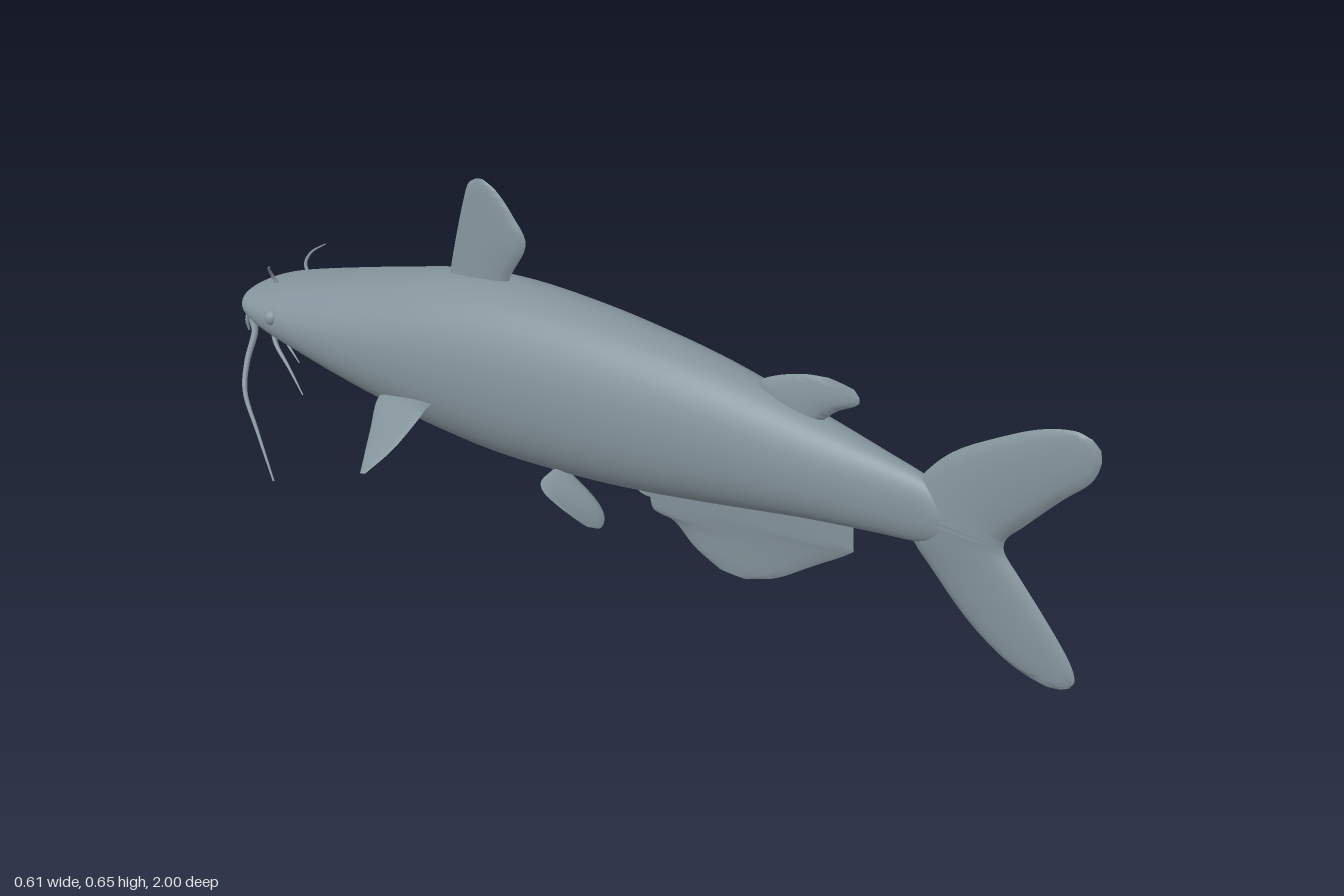
import * as THREE from 'three';
import { toCreasedNormals } from 'three/addons/utils/BufferGeometryUtils.js';

const V = (p, s = 1) => new THREE.Vector3(p[0] * s, p[1], p[2]);
const spline = (pts) => new THREE.CatmullRomCurve3(pts, false, 'catmullrom', 0.5);

// Skin a list of closed rings and cap both ends
function loft(rings) {
  const n = rings[0].length, pos = [], idx = [];
  rings.forEach((r) => r.forEach((p) => pos.push(p.x, p.y, p.z)));
  for (let i = 0; i < rings.length - 1; i++) {
    for (let j = 0; j < n; j++) {
      const k = (j + 1) % n, a = i * n + j, b = i * n + k;
      idx.push(a, b, a + n, b, b + n, a + n);
    }
  }
  [0, rings.length - 1].forEach((i) => {
    const c = new THREE.Vector3();
    rings[i].forEach((p) => c.addScaledVector(p, 1 / n));
    const ci = pos.length / 3;
    pos.push(c.x, c.y, c.z);
    for (let j = 0; j < n; j++) {
      const a = i * n + j, b = i * n + (j + 1) % n;
      if (i === 0) idx.push(ci, b, a); else idx.push(ci, a, b);
    }
  });
  const g = new THREE.BufferGeometry();
  g.setAttribute('position', new THREE.Float32BufferAttribute(pos, 3));
  g.setIndex(idx);
  g.computeVertexNormals();
  return g;
}

// Body from sections: z, top, bottom, half width
function bodyGeometry() {
  const sections = [
    [-1, 0.258, 0.225, 0.05], [-0.985, 0.268, 0.213, 0.082], [-0.95, 0.282, 0.2, 0.108],
    [-0.88, 0.305, 0.182, 0.128], [-0.75, 0.345, 0.16, 0.146], [-0.6, 0.39, 0.134, 0.155],
    [-0.42, 0.44, 0.108, 0.151], [-0.25, 0.464, 0.1, 0.14], [-0.07, 0.468, 0.113, 0.127],
    [0.09, 0.461, 0.135, 0.113], [0.25, 0.446, 0.165, 0.095], [0.46, 0.41, 0.208, 0.067],
    [0.6, 0.385, 0.23, 0.044], [0.69, 0.367, 0.243, 0.029], [0.74, 0.34, 0.262, 0.021],
    [0.77, 0.315, 0.285, 0.012],
  ];
  const heights = spline(sections.map(([z, t, b]) => new THREE.Vector3(z, t, b)));
  const widths = spline(sections.map(([z, , , w]) => new THREE.Vector3(z, w, 0)));
  const soft = (v) => Math.sign(v) * Math.abs(v) ** 0.93;
  const rings = [];
  for (let i = 0; i <= 75; i++) {
    const h = heights.getPoint(i / 75), w = widths.getPoint(i / 75).y;
    const ring = [];
    for (let j = 0; j < 48; j++) {
      const a = (j / 48) * Math.PI * 2;
      ring.push(new THREE.Vector3(w * soft(Math.cos(a)),
        (h.y + h.z) / 2 + (h.y - h.z) / 2 * soft(Math.sin(a)), h.x));
    }
    rings.push(ring);
  }
  return loft(rings);
}

// Lens-shaped fin from rows running base to tip: [leading point, trailing point]
function finGeometry(rows, thick, side = 1) {
  const lead = spline(rows.map((r) => V(r[0], side)));
  const trail = spline(rows.map((r) => V(r[1], side)));
  const chord = trail.getPoint(0.4).sub(lead.getPoint(0.4));
  const span = lead.getPoint(1).add(trail.getPoint(1)).sub(lead.getPoint(0)).sub(trail.getPoint(0));
  const normal = chord.cross(span).normalize();
  const rings = [];
  for (let i = 0; i <= 28; i++) {
    const t = i / 28, a = lead.getPoint(t), b = trail.getPoint(t), ring = [];
    const half = thick * (1 - t) + 0.0015;
    for (let j = 0; j < 16; j++) {
      const q = (j / 16) * Math.PI * 2;
      ring.push(a.clone().lerp(b, (1 - Math.cos(q)) / 2).addScaledVector(normal, half * Math.sin(q)));
    }
    rings.push(ring);
  }
  return toCreasedNormals(loft(rings), 0.7);
}

// Tapering whisker along a curve
function whiskerGeometry(points, radius, side) {
  const curve = spline(points.map((p) => V(p, side)));
  const seg = 24, sides = 8;
  const g = new THREE.TubeGeometry(curve, seg, radius, sides, false);
  const pos = g.attributes.position, v = new THREE.Vector3();
  for (let i = 0; i < pos.count; i++) {
    const t = Math.floor(i / (sides + 1)) / seg, c = curve.getPointAt(t);
    v.fromBufferAttribute(pos, i).sub(c).multiplyScalar(1 - 0.75 * t).add(c);
    pos.setXYZ(i, v.x, v.y, v.z);
  }
  return g;
}

// Midline fin rows given as [lead z, lead y, trail z, trail y]
const flat = (rows) => rows.map(([z0, y0, z1, y1]) => [[0, y0, z0], [0, y1, z1]]);

export function createModel() {
  const model = new THREE.Group();
  const skin = new THREE.MeshStandardMaterial({ color: 0x84939b });
  skin.name = 'slate skin';
  const add = (name, geometry) => {
    const mesh = new THREE.Mesh(geometry, skin);
    mesh.name = name;
    model.add(mesh);
    return mesh;
  };

  add('body', bodyGeometry());

  // Lower jaw
  const jaw = add('lowerJaw', new THREE.SphereGeometry(1, 32, 16));
  jaw.scale.set(0.082, 0.024, 0.062);
  jaw.position.set(0, 0.197, -0.915);

  // Midline fins
  add('upperTailLobe', finGeometry(flat([
    [0.64, 0.3, 0.845, 0.29], [0.68, 0.37, 0.85, 0.31], [0.74, 0.438, 0.88, 0.345],
    [0.84, 0.503, 0.94, 0.415], [0.9, 0.533, 0.985, 0.462], [0.95, 0.546, 1, 0.5],
    [0.98, 0.541, 0.998, 0.525],
  ]), 0.022));
  add('lowerTailLobe', finGeometry(flat([
    [0.64, 0.31, 0.845, 0.3], [0.67, 0.243, 0.85, 0.278], [0.71, 0.2, 0.885, 0.24],
    [0.79, 0.125, 0.94, 0.18], [0.87, 0.076, 0.985, 0.125], [0.94, 0.058, 1, 0.092],
    [0.975, 0.062, 0.993, 0.073],
  ]), 0.022));
  add('dorsalFin', finGeometry(flat([
    [-0.43, 0.41, -0.28, 0.41], [-0.425, 0.45, -0.265, 0.47], [-0.405, 0.53, -0.222, 0.55],
    [-0.385, 0.6, -0.255, 0.603], [-0.37, 0.64, -0.295, 0.642], [-0.348, 0.656, -0.33, 0.658],
  ]), 0.015));
  add('rearDorsalFin', finGeometry(flat([
    [0.345, 0.4, 0.46, 0.39], [0.335, 0.435, 0.5, 0.43], [0.37, 0.46, 0.54, 0.455],
    [0.43, 0.482, 0.547, 0.47], [0.48, 0.491, 0.535, 0.485],
  ]), 0.016));
  add('analFin', finGeometry(flat([
    [0.08, 0.16, 0.545, 0.26], [0.088, 0.115, 0.553, 0.18], [0.1, 0.085, 0.545, 0.16],
    [0.15, 0.078, 0.47, 0.105], [0.2, 0.04, 0.39, 0.047], [0.26, 0.015, 0.32, 0.017],
  ]), 0.016));

  // Paired parts
  [['left', 1], ['right', -1]].forEach(([label, s]) => {
    add(label + 'PectoralFin', finGeometry([
      [[0.11, 0.19, -0.52], [0.11, 0.21, -0.37]], [[0.15, 0.178, -0.505], [0.165, 0.222, -0.345]],
      [[0.2, 0.155, -0.47], [0.205, 0.213, -0.333]], [[0.25, 0.135, -0.435], [0.255, 0.165, -0.352]],
      [[0.3, 0.115, -0.4], [0.3, 0.12, -0.385]],
    ], 0.009, s));
    add(label + 'PelvicFin', finGeometry([
      [[0.08, 0.14, -0.09], [0.05, 0.12, -0.06]], [[0.125, 0.137, -0.08], [0.05, 0.095, -0.01]],
      [[0.15, 0.133, -0.05], [0.056, 0.07, 0.02]], [[0.154, 0.12, -0.01], [0.08, 0.056, 0.033]],
      [[0.14, 0.1, 0.01], [0.115, 0.072, 0.03]],
    ], 0.007, s));

    const eye = add(label + 'Eye', new THREE.SphereGeometry(0.018, 20, 14));
    eye.position.set(0.126 * s, 0.262, -0.835);

    add(label + 'LongWhisker', whiskerGeometry([
      [0.095, 0.215, -0.94], [0.125, 0.205, -0.9], [0.18, 0.17, -0.865], [0.225, 0.125, -0.825],
      [0.262, 0.072, -0.75], [0.304, 0.005, -0.66],
    ], 0.008, s));
    add(label + 'NostrilWhisker', whiskerGeometry([
      [0.042, 0.275, -0.9], [0.047, 0.305, -0.918], [0.062, 0.33, -0.912], [0.08, 0.35, -0.885],
    ], 0.005, s));
    add(label + 'InnerChinWhisker', whiskerGeometry([
      [0.03, 0.185, -0.93], [0.033, 0.155, -0.915], [0.042, 0.115, -0.86],
    ], 0.005, s));
    add(label + 'OuterChinWhisker', whiskerGeometry([
      [0.058, 0.185, -0.92], [0.068, 0.155, -0.9], [0.08, 0.12, -0.85], [0.09, 0.075, -0.8],
    ], 0.006, s));
    add(label + 'LipFold', whiskerGeometry([
      [0.07, 0.225, -0.97], [0.075, 0.195, -0.982], [0.073, 0.17, -0.982],
    ], 0.009, s));
  });

  return model;
}
